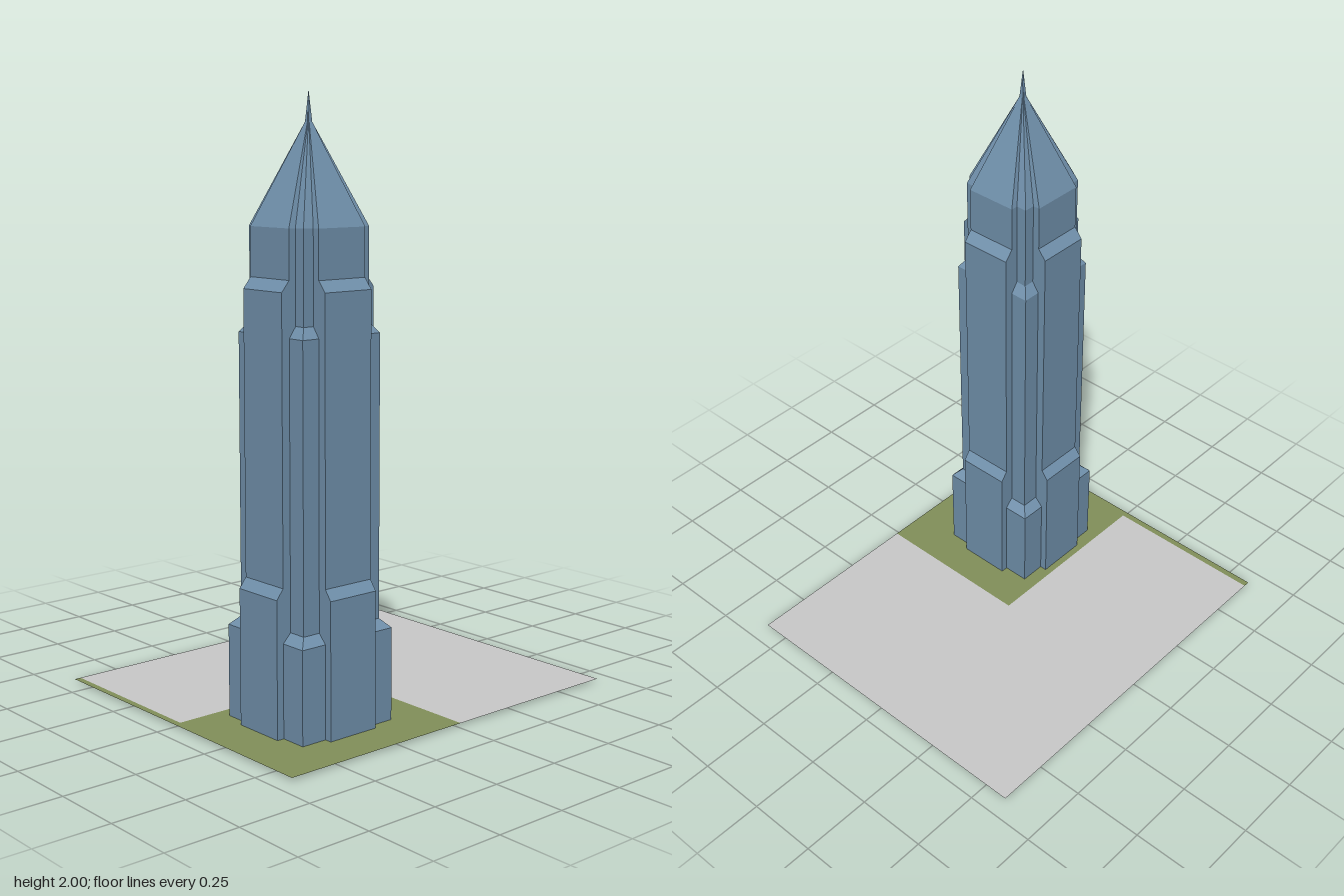
import * as THREE from 'three';

const glass = new THREE.MeshStandardMaterial({ color: 0x7090ab, flatShading: true });
glass.name = 'blueGlass';
const paving = new THREE.MeshStandardMaterial({ color: 0xc9c9c9, side: THREE.DoubleSide });
paving.name = 'greyPaving';
const grass = new THREE.MeshStandardMaterial({ color: 0x82905a, side: THREE.DoubleSide });
grass.name = 'greenLawn';

const BAY = 0.093; // half width of the projecting bay on each side

// Plan of the tower: four bays reaching out to `reach`, corners of a square at `corner`
function plan(y, reach, corner, scale = 1) {
  const quarter = [[reach, -BAY], [reach, BAY], [corner, BAY], [corner, corner], [BAY, corner]];
  const ring = [];
  for (let q = 0; q < 4; q++) {
    for (let [a, b] of quarter) {
      for (let k = 0; k < q; k++) [a, b] = [-b, a];
      ring.push([a * scale, y, -b * scale]);
    }
  }
  return ring;
}

// Skin a stack of rings with flat quads
function loft(rings) {
  const pos = [];
  for (let i = 0; i < rings.length - 1; i++) {
    const lo = rings[i], hi = rings[i + 1], n = lo.length;
    for (let j = 0; j < n; j++) {
      const k = (j + 1) % n;
      pos.push(...lo[j], ...lo[k], ...hi[k], ...lo[j], ...hi[k], ...hi[j]);
    }
  }
  const geo = new THREE.BufferGeometry();
  geo.setAttribute('position', new THREE.Float32BufferAttribute(pos, 3));
  geo.computeVertexNormals();
  return geo;
}

function add(parent, name, geo, mat) {
  const mesh = new THREE.Mesh(geo, mat);
  mesh.name = name;
  parent.add(mesh);
  return mesh;
}

// Flat piece of ground between two corners
function ground(parent, name, mat, x0, x1, z0, z1, y = 0.009) {
  const geo = new THREE.PlaneGeometry(x1 - x0, z1 - z0).rotateX(-Math.PI / 2);
  add(parent, name, geo, mat).position.set((x0 + x1) / 2, y, (z0 + z1) / 2);
}

export function createModel() {
  const model = new THREE.Group();
  model.name = 'skyscraper';

  const tower = new THREE.Group();
  tower.name = 'tower';
  tower.position.set(0.235, 0, 0.315);
  model.add(tower);

  // Shaft with sloped setbacks: height, bay reach, corner
  const levels = [
    [0, 0.21, 0.185], [0.315, 0.21, 0.185], [0.345, 0.21, 0.156],
    [0.457, 0.21, 0.156], [0.49, 0.185, 0.156],
    [1.26, 0.185, 0.156], [1.295, 0.185, 0.131],
    [1.40, 0.185, 0.131], [1.435, 0.156, 0.131], [1.59, 0.156, 0.131],
  ];
  add(tower, 'shaft', loft(levels.map((l) => plan(...l))), glass);

  // Folded pyramid roof and needle
  const eaves = plan(1.59, 0.156, 0.131);
  const neck = plan(1.905, 0.156, 0.131, 0.06);
  const tip = plan(2, 0.156, 0.131, 0.002);
  add(tower, 'roof', loft([eaves, neck]), glass);
  add(tower, 'spire', loft([neck, tip]), glass);

  // Paved blocks around the lawn
  ground(model, 'rearPaving', paving, -0.59, 0.59, -0.683, -0.015);
  ground(model, 'sidePaving', paving, -0.59, 0, -0.015, 0.66);
  ground(model, 'lawn', grass, 0, 0.59, -0.015, 0.683);
  ground(model, 'lawnStrip', grass, -0.59, 0, 0.66, 0.683);

  return model;
}
